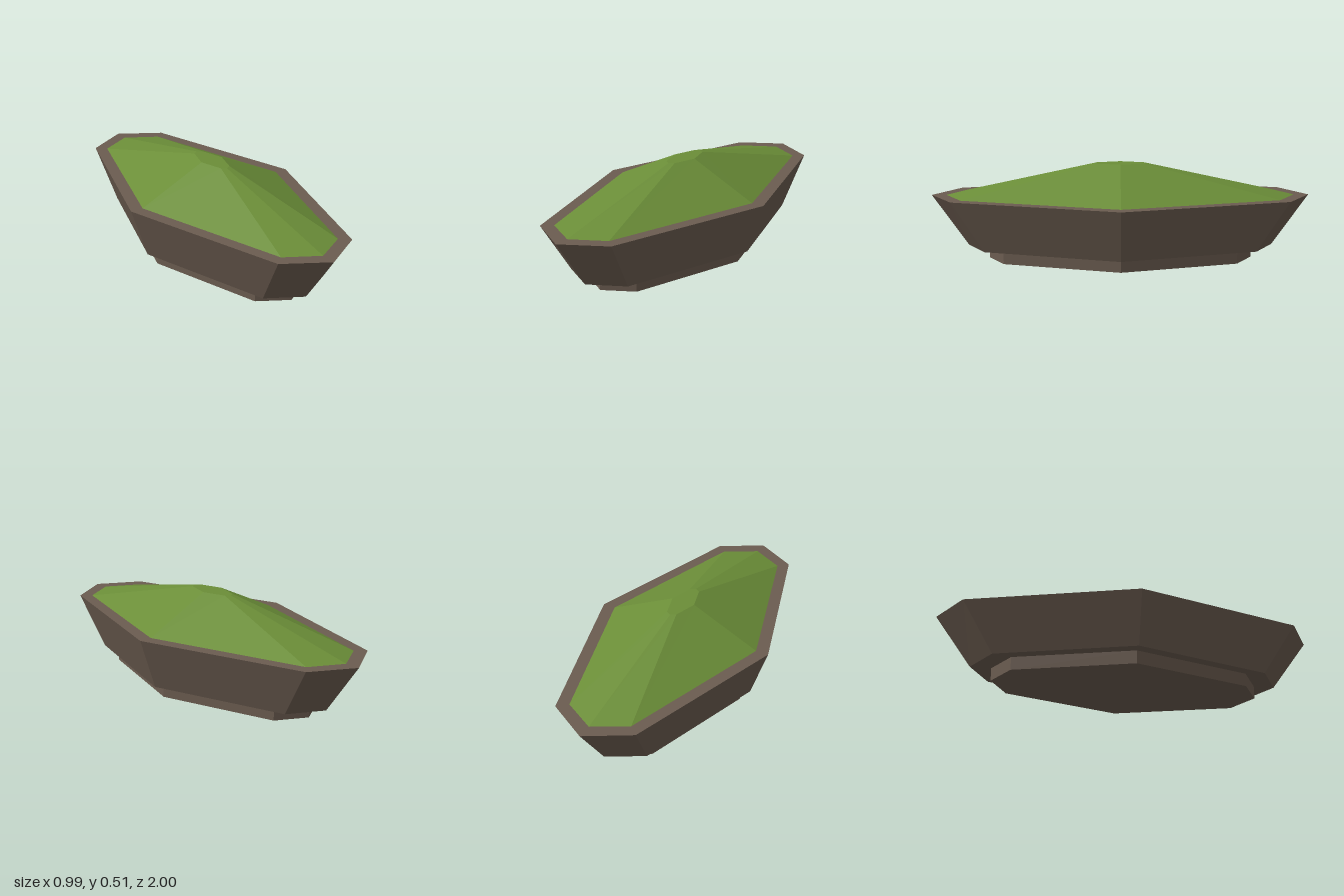
import * as THREE from 'three';

const brown = new THREE.MeshStandardMaterial({ color: 0x6b5c50, flatShading: true });
brown.name = 'brown';
const green = new THREE.MeshStandardMaterial({ color: 0x6b8e38, flatShading: true });
green.name = 'green';

// Long octagon, anticlockwise from above: side tip x, end tip z, and corner (cx, cz)
function ring(y, x, z, cx, cz) {
  return [[0, z], [cx, cz], [x, 0], [cx, -cz], [0, -z], [-cx, -cz], [-x, 0], [-cx, cz]]
    .map(([px, pz]) => [px, y, pz]);
}

// Skin a stack of rings, closing the bottom and/or the top
function loft(name, material, rings, capBottom, capTop) {
  const pos = [];
  const tri = (...pts) => pts.forEach((p) => pos.push(...p));
  const n = rings[0].length;
  for (let k = 0; k < rings.length - 1; k++) {
    for (let i = 0; i < n; i++) {
      const j = (i + 1) % n, lo = rings[k], hi = rings[k + 1];
      tri(lo[i], lo[j], hi[j]);
      tri(lo[i], hi[j], hi[i]);
    }
  }
  const first = rings[0], last = rings[rings.length - 1];
  for (let i = 1; i < n - 1; i++) {
    if (capBottom) tri(first[0], first[i + 1], first[i]);
    if (capTop) tri(last[0], last[i], last[i + 1]);
  }
  const geo = new THREE.BufferGeometry();
  geo.setAttribute('position', new THREE.Float32BufferAttribute(pos, 3));
  geo.computeVertexNormals();
  const mesh = new THREE.Mesh(geo, material);
  mesh.name = name;
  return mesh;
}

export function createModel() {
  const model = new THREE.Group();
  model.name = 'planter';
  const inner = [0.425, 0.922, 0.172, 0.825];

  // Recessed foot
  model.add(loft('foot', brown, [
    ring(0, 0.345, 0.7, 0.157, 0.61),
    ring(0.07, 0.345, 0.7, 0.157, 0.61),
  ], true, false));

  // Flared bowl with a flat rim
  model.add(loft('bowl', brown, [
    ring(0.07, 0.402, 0.81, 0.182, 0.707),
    ring(0.34, 0.493, 1, 0.223, 0.87),
    ring(0.34, ...inner),
  ], true, false));

  // Grassy mound with a small flat top
  model.add(loft('grassMound', green, [
    ring(0.34, ...inner),
    ring(0.51, 0.064, 0.14, 0.027, 0.124),
  ], false, true));

  return model;
}
